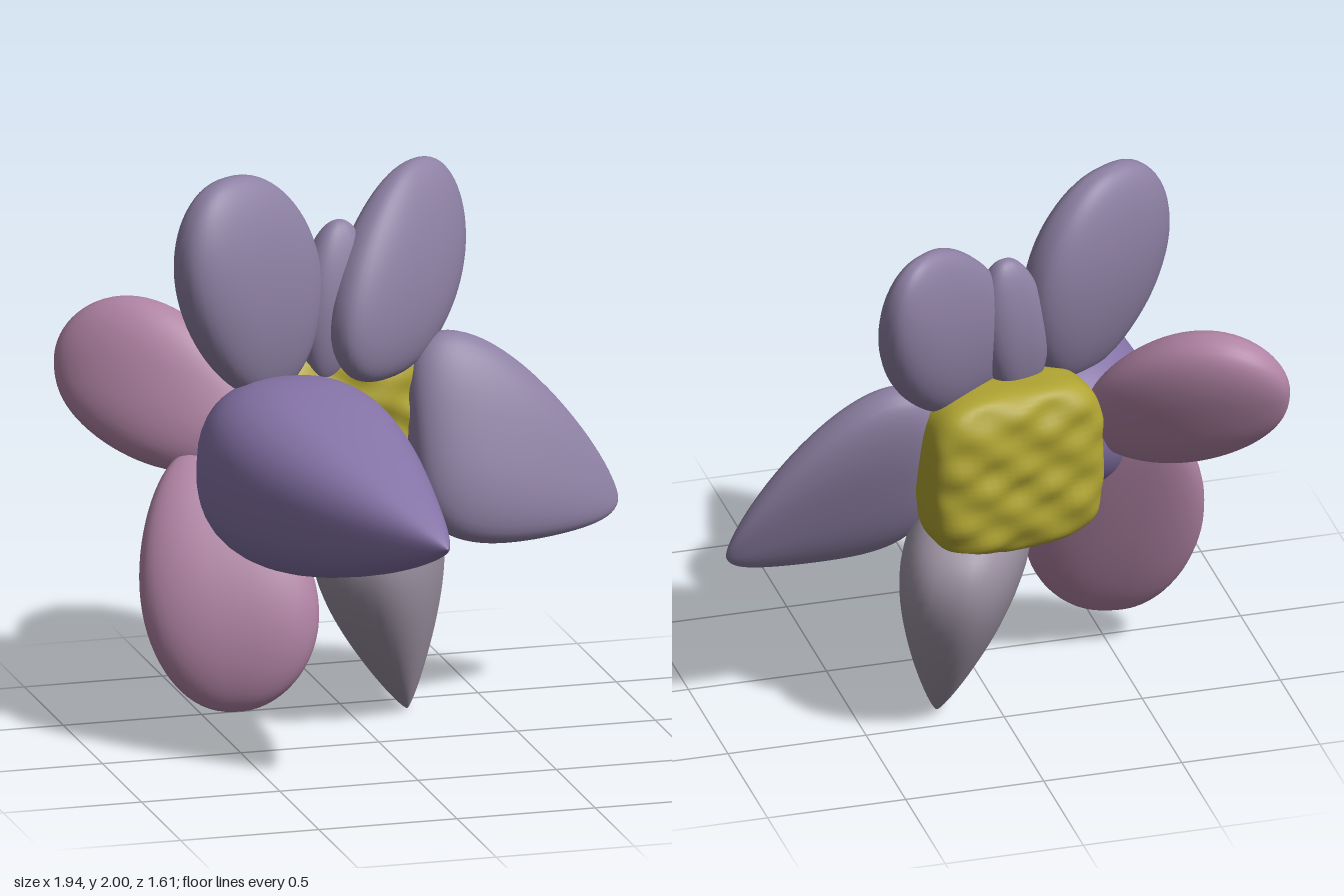
import * as THREE from 'three';

const LILAC = 0x8d80a3, VIOLET = 0x8472a6, PINK = 0xb083a4, PALE = 0x9a90a0, YELLOW = 0xb0a432;
const RINGS = 36, SIDES = 40;

const vec = (x, y, z) => new THREE.Vector3(x, y, z);
const squared = (c, n) => Math.sign(c) * Math.abs(c) ** (2 / n);

// Plump petal swept from base to tip. widest: where along the length it is widest (0..1),
// taper: low for a blunt end, high for a pointed one; bend: control point of the spine.
function petalGeometry({ base, tip, across, width, thick, widest = 0.5, taper = 0.45, bend }) {
  const control = bend ?? base.clone().lerp(tip, 0.5);
  const spine = new THREE.QuadraticBezierCurve3(base, control, tip);
  const U = across.normalize();
  const W = tip.clone().sub(base).cross(U).normalize();
  const power = Math.log(0.5) / Math.log(widest);
  const pos = [], idx = [];
  for (let i = 0; i <= RINGS; i++) {
    const u = (1 - Math.cos((Math.PI * i) / RINGS)) / 2;
    const centre = spine.getPoint(u);
    const swell = Math.abs(Math.sin(Math.PI * u ** power)) ** taper;
    for (let j = 0; j < SIDES; j++) {
      const a = (j / SIDES) * Math.PI * 2;
      const p = centre.clone()
        .addScaledVector(U, width * swell * squared(Math.cos(a), 2.5))
        .addScaledVector(W, thick * swell * squared(Math.sin(a), 2.5));
      pos.push(p.x, p.y, p.z);
      if (i === RINGS) continue;
      const k = i * SIDES, next = (j + 1) % SIDES;
      idx.push(k + j, k + next, k + SIDES + next, k + j, k + SIDES + next, k + SIDES + j);
    }
  }
  const g = new THREE.BufferGeometry();
  g.setAttribute('position', new THREE.Float32BufferAttribute(pos, 3));
  g.setIndex(idx);
  g.computeVertexNormals();
  return g;
}

// Squarish knobbly cushion made from a sphere
function cushionGeometry(rx, ry, rz) {
  const g = new THREE.SphereGeometry(1, 72, 56);
  const p = g.attributes.position, v = vec(0, 0, 0);
  for (let i = 0; i < p.count; i++) {
    v.fromBufferAttribute(p, i);
    v.multiplyScalar((v.x ** 4 + v.y ** 4 + v.z ** 4) ** -0.25);
    const bump = 0.07 * Math.sin(v.x * 9 + 1) * Math.sin(v.y * 10) + 0.03 * Math.sin(v.y * 17 + v.x * 6);
    p.setXYZ(i, v.x * rx, v.y * ry, v.z * rz * (1 + bump));
  }
  g.computeVertexNormals();
  return g;
}

export function createModel() {
  const flower = new THREE.Group();
  flower.name = 'flower';
  const add = (name, color, geometry) => {
    const mesh = new THREE.Mesh(geometry, new THREE.MeshStandardMaterial({ color }));
    mesh.name = name;
    flower.add(mesh);
    return mesh;
  };

  // upper pair of petals and the small web between them
  add('upperRightPetal', LILAC, petalGeometry({
    base: vec(-0.32, 1.2, -0.29), tip: vec(-0.45, 2, -0.3), across: vec(0.88, 0, -0.47),
    width: 0.31, thick: 0.13, widest: 0.54, taper: 0.42,
  }));
  add('upperLeftPetal', LILAC, petalGeometry({
    base: vec(0.12, 1.2, -0.38), tip: vec(0.31, 1.92, -0.62), across: vec(0.83, 0, -0.56),
    width: 0.31, thick: 0.12, widest: 0.45,
  }));
  add('petalWeb', LILAC, petalGeometry({
    base: vec(-0.08, 1.2, -0.4), tip: vec(-0.02, 1.77, -0.45), across: vec(1, 0, -0.3),
    width: 0.13, thick: 0.09,
  }));

  // pointed side petal
  add('leftPetal', LILAC, petalGeometry({
    base: vec(0.22, 1, -0.38), tip: vec(0.97, 0.71, -0.37), bend: vec(0.62, 0.97, -0.37),
    across: vec(0, 0.95, -0.31), width: 0.37, thick: 0.12, widest: 0.25, taper: 0.6,
  }));

  // lower petals
  add('bottomPetal', PALE, petalGeometry({
    base: vec(0.06, 0.82, -0.36), tip: vec(0.21, 0, -0.38), across: vec(0.45, 0, -0.87),
    width: 0.37, thick: 0.21, widest: 0.27, taper: 0.8,
  }));
  add('lowerRightPetal', PINK, petalGeometry({
    base: vec(-0.55, 1, -0.38), tip: vec(-0.51, 0.135, -0.05), bend: vec(-0.48, 0.55, -0.08),
    across: vec(1, 0, 0.2), width: 0.31, thick: 0.13, widest: 0.55,
  }));

  // rounded side petal
  add('rightPetal', PINK, petalGeometry({
    base: vec(-0.33, 1.1, -0.37), tip: vec(-0.967, 1.22, -0.73), bend: vec(-0.65, 1.23, -0.57),
    across: vec(0, 0.92, -0.36), width: 0.3, thick: 0.13,
  }));

  // long tapering petal reaching forward
  add('frontPetal', VIOLET, petalGeometry({
    base: vec(-0.24, 1.06, -0.48), tip: vec(0.02, 0.92, 0.81), bend: vec(-0.37, 0.93, 0),
    across: vec(1, 0, 0), width: 0.355, thick: 0.32, widest: 0.4, taper: 0.78,
  }));

  // knobbly yellow centre facing backwards
  const centre = add('flowerCentre', YELLOW, cushionGeometry(0.33, 0.31, 0.15));
  centre.position.set(-0.02, 1, -0.5);
  centre.rotation.y = 0.16;
  return flower;
}
